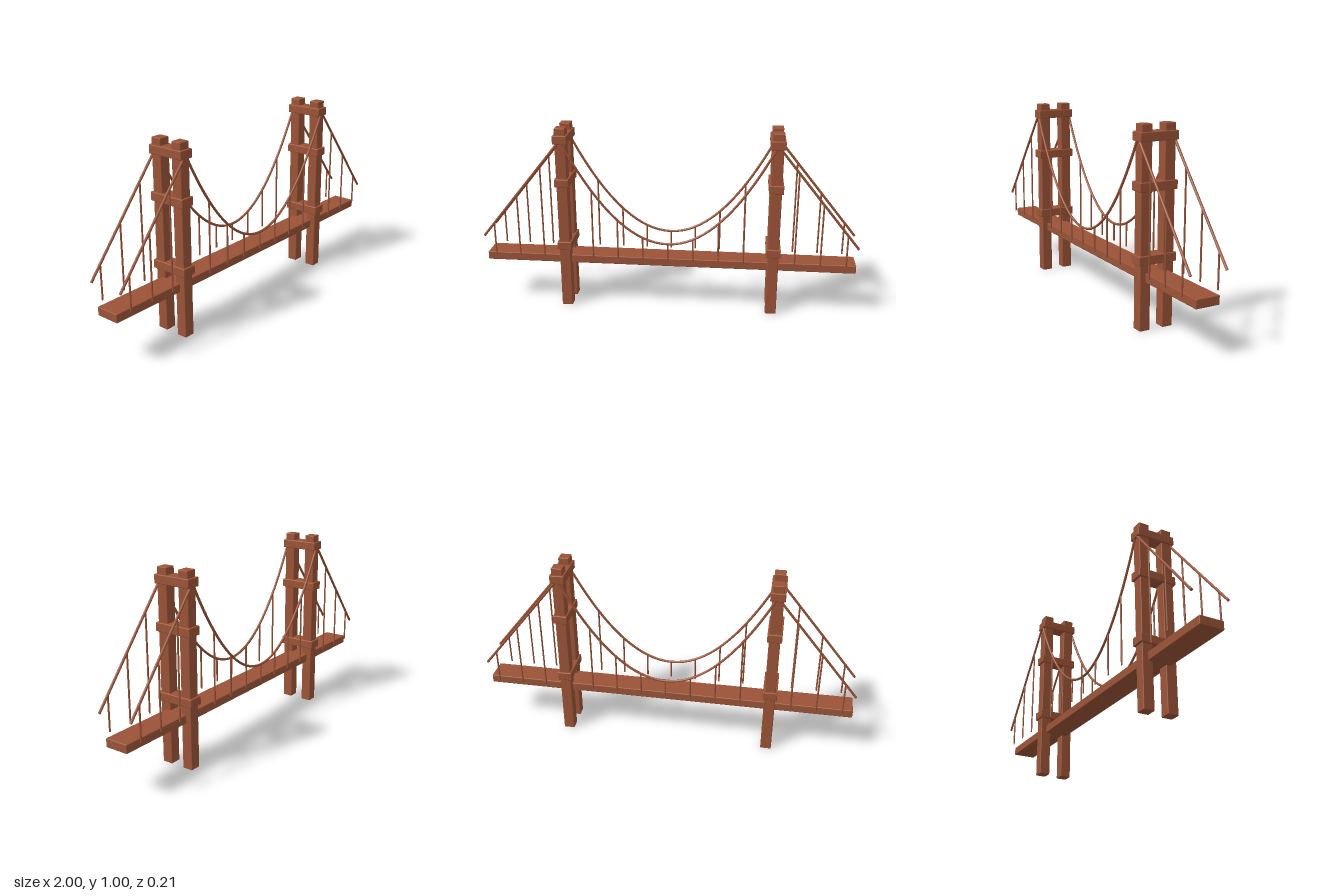
import * as THREE from 'three';
import { RoundedBoxGeometry } from 'three/addons/geometries/RoundedBoxGeometry.js';

const TOWER_X = 0.557, CABLE_Z = 0.096, END_X = 0.995;
const LOW_Y = 0.385, PEAK_Y = 0.935, END_Y = 0.397, DECK_TOP = 0.288;

// Height of the main cable: parabola between towers, straight outside them
function cableY(x) {
  const a = Math.abs(x);
  if (a <= TOWER_X) return LOW_Y + (PEAK_Y - LOW_Y) * (a / TOWER_X) ** 2;
  return PEAK_Y + (END_Y - PEAK_Y) * (a - TOWER_X) / (END_X - TOWER_X);
}

export function createModel() {
  const model = new THREE.Group();
  model.name = 'suspensionBridge';
  const paint = new THREE.MeshStandardMaterial({ color: 0x9b5337 });
  paint.name = 'rust red paint';

  function add(parent, name, geometry, x, y, z) {
    const mesh = new THREE.Mesh(geometry, paint);
    mesh.name = name;
    mesh.position.set(x, y, z);
    parent.add(mesh);
  }
  const block = (w, h, d) => new RoundedBoxGeometry(w, h, d, 2, 0.004);

  // Road deck
  add(model, 'deck', block(2 * END_X, 0.045, 0.127), 0, DECK_TOP - 0.0225, 0);

  // Two towers, each with two legs and three cross beams
  for (const side of [-1, 1]) {
    const tower = new THREE.Group();
    tower.name = side > 0 ? 'leftTower' : 'rightTower';
    tower.position.x = side * TOWER_X;
    for (const z of [-0.064, 0.064]) add(tower, 'towerLeg', block(0.058, 0.997, 0.057), 0, 0.4985, z);
    for (const y of [0.353, 0.705, 0.938]) add(tower, 'crossBeam', block(0.076, 0.045, 0.207), 0, y, 0);
    model.add(tower);
  }

  // Cables and hangers on both edges of the deck
  for (const side of [-1, 1]) {
    const z = side * CABLE_Z;
    const points = [];
    for (let i = 0; i <= 24; i++) {
      const x = TOWER_X * (i / 12 - 1);
      points.push(new THREE.Vector3(x, cableY(x), 0));
    }
    const main = new THREE.CatmullRomCurve3(points);
    add(model, 'mainCable', new THREE.TubeGeometry(main, 48, 0.0065, 8), 0, 0, z);

    for (const end of [-1, 1]) {
      const top = new THREE.Vector3(end * TOWER_X, PEAK_Y, 0);
      const foot = new THREE.Vector3(end * END_X, END_Y, 0);
      const length = top.distanceTo(foot);
      const stay = new THREE.CylinderGeometry(0.0065, 0.0065, length, 8);
      stay.rotateZ(Math.atan2(foot.x - top.x, top.y - foot.y));
      add(model, 'sideCable', stay, (top.x + foot.x) / 2, (top.y + foot.y) / 2, z);
    }

    // Evenly spaced hangers, skipping the towers
    for (let i = -7; i <= 7; i++) {
      if (Math.abs(i) === 4) continue;
      const x = i * 0.1337;
      const h = cableY(x) - DECK_TOP;
      add(model, 'hanger', new THREE.CylinderGeometry(0.0045, 0.0045, h, 8), x, DECK_TOP + h / 2, z);
    }
  }
  return model;
}
